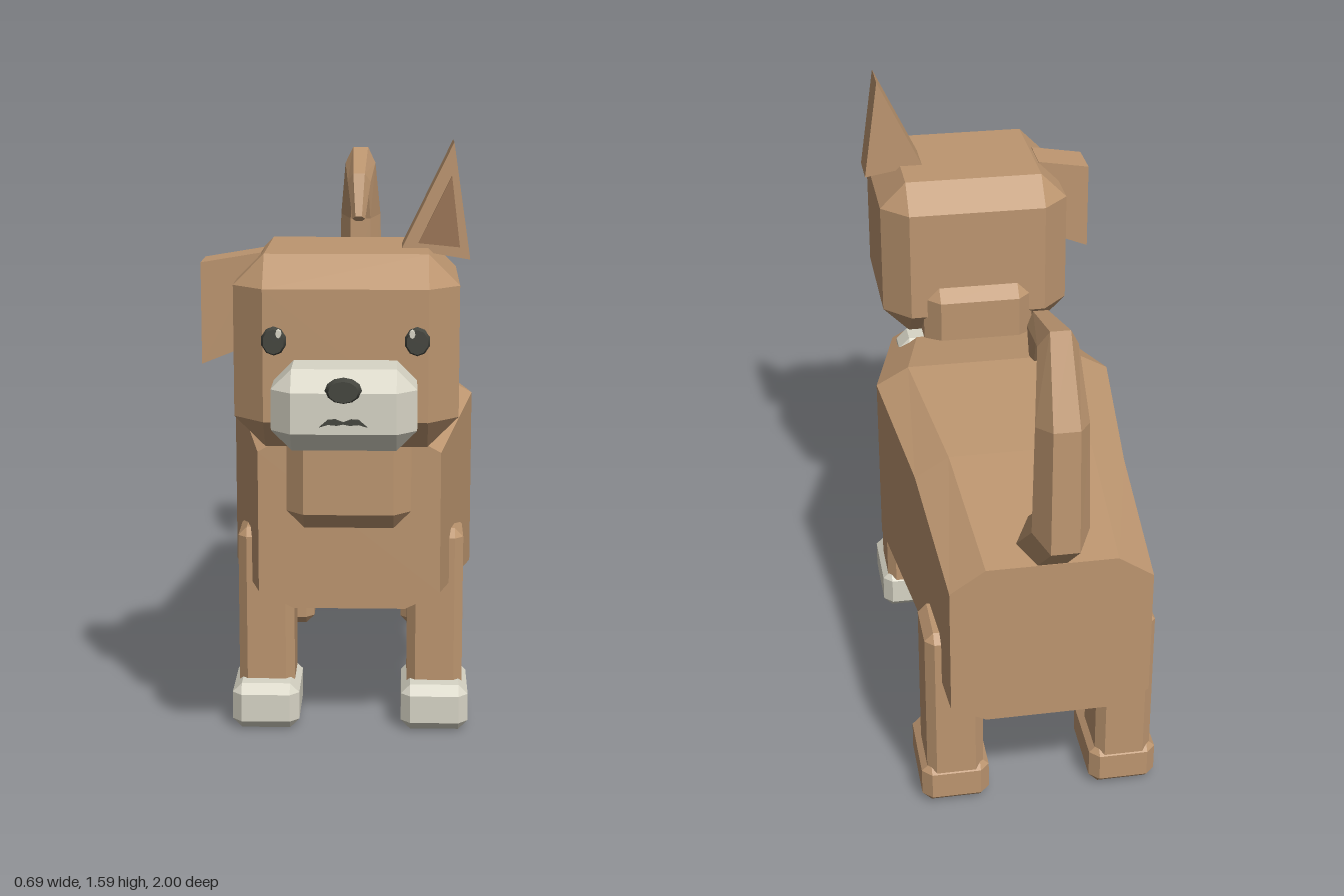
import * as THREE from 'three';
import { ConvexGeometry } from 'three/addons/geometries/ConvexGeometry.js';

const CX = 0.012; // symmetry plane of the animal

const paint = (name, color) => {
  const m = new THREE.MeshStandardMaterial({ color });
  m.name = name;
  return m;
};

// Box between two corners with every edge bevelled by c
function bevelBox(min, max, c) {
  const mid = min.map((v, i) => (v + max[i]) / 2);
  const half = min.map((v, i) => (max[i] - v) / 2);
  const pts = [];
  for (const sx of [-1, 1]) for (const sy of [-1, 1]) for (const sz of [-1, 1]) {
    const s = [sx, sy, sz];
    for (let k = 0; k < 3; k++) {
      const p = mid.map((m, i) => m + s[i] * (half[i] - (i === k ? 0 : c)));
      pts.push(new THREE.Vector3(...p));
    }
  }
  return new ConvexGeometry(pts);
}

// Flat-shaded skin over rings of equal length, closed at both ends
function loft(rings) {
  const pos = [];
  const tri = (...ps) => ps.forEach((p) => pos.push(...p));
  const n = rings[0].length;
  for (let r = 0; r < rings.length - 1; r++) {
    const a = rings[r], b = rings[r + 1];
    for (let i = 0; i < n; i++) {
      const j = (i + 1) % n;
      tri(a[i], a[j], b[j]);
      tri(a[i], b[j], b[i]);
    }
  }
  const first = rings[0], last = rings[rings.length - 1];
  for (let i = 1; i < n - 1; i++) {
    tri(first[0], first[i + 1], first[i]);
    tri(last[0], last[i], last[i + 1]);
  }
  const g = new THREE.BufferGeometry();
  g.setAttribute('position', new THREE.Float32BufferAttribute(pos, 3));
  g.computeVertexNormals();
  return g;
}

// Outline in x and y, given thickness between z0 and z1
function plate(points, z0, z1) {
  const shape = new THREE.Shape(points.map(([x, y]) => new THREE.Vector2(x, y)));
  const g = new THREE.ExtrudeGeometry(shape, { depth: z1 - z0, bevelEnabled: false });
  return g.translate(0, 0, z0);
}

// Oval disc facing the front
function disc(x, y, z, rx, ry, depth, sides) {
  const g = new THREE.CylinderGeometry(0.8, 1, 1, sides);
  return g.rotateX(Math.PI / 2).scale(rx, ry, depth).translate(x, y, z);
}

export function createModel() {
  const model = new THREE.Group();
  model.name = 'dog';
  const fur = paint('tan fur', 0xbd9670);
  const inner = paint('inner ear brown', 0x9c7656);
  const white = paint('off-white fur', 0xd8d5c6);
  const dark = paint('charcoal', 0x45463f);
  const add = (name, geometry, material) => {
    const mesh = new THREE.Mesh(geometry, material);
    mesh.name = name;
    model.add(mesh);
  };

  // Body: octagonal sections [z, half width, top, shoulder, flank, belly]
  const sections = [
    [-0.85, 0.255, 0.82, 0.76, 0.41, 0.365],
    [-0.4, 0.28, 0.877, 0.823, 0.392, 0.347],
    [0.05, 0.33, 0.91, 0.86, 0.375, 0.33],
    [0.48, 0.237, 0.835, 0.785, 0.41, 0.365],
  ];
  add('body', loft(sections.map(([z, w, top, shoulder, flank, belly]) => {
    const f = w - 0.09;
    return [[w, flank], [w, shoulder], [f, top], [-f, top],
      [-w, shoulder], [-w, flank], [-f, belly], [f, belly]].map(([x, y]) => [CX + x, y, z]);
  })), fur);

  // Neck and pale shoulder patch
  add('neck', bevelBox([CX - 0.16, 0.595, 0.265], [CX + 0.16, 1.035, 0.565], 0.045), fur);
  add('shoulderPatch', bevelBox([CX - 0.235, 0.74, 0.285], [CX + 0.235, 0.863, 0.41], 0.03), white);

  // Head and muzzle
  add('head', bevelBox([CX - 0.272, 0.86, 0.3], [CX + 0.272, 1.33, 0.815], 0.075), fur);
  add('muzzle', bevelBox([CX - 0.17, 0.895, 0.74], [CX + 0.17, 1.087, 0.985], 0.048), white);
  add('nose', disc(CX, 1.045, 0.99, 0.043, 0.031, 0.02, 12), dark);
  const mouth = [[-0.055, -0.008], [-0.035, -0.002], [-0.015, -0.004], [0, -0.001], [0.015, -0.004],
    [0.035, -0.002], [0.055, -0.008], [0.035, 0.009], [0.018, 0.01], [0, 0.003], [-0.018, 0.01], [-0.035, 0.009]];
  add('mouth', plate(mouth.map(([x, y]) => [CX + x, 0.97 + y]), 0.985, 0.994), dark);

  // Eyes with glints
  for (const s of [-1, 1]) {
    const side = s > 0 ? 'left' : 'right';
    add(side + 'Eye', disc(CX + s * 0.17, 1.132, 0.82, 0.032, 0.037, 0.02, 10), dark);
    add(side + 'EyeGlint', disc(CX + s * 0.158, 1.151, 0.83, 0.008, 0.012, 0.006, 8), white);
  }

  // Upright left ear, folded right ear
  add('leftEar', plate([[0.145, 1.33], [0.312, 1.302], [0.27, 1.587]], 0.5, 0.615), fur);
  add('leftInnerEar', plate([[0.185, 1.343], [0.286, 1.333], [0.265, 1.507]], 0.615, 0.624), inner);
  add('rightEar', plate([[-0.2, 1.318], [-0.35, 1.293], [-0.35, 1.04], [-0.25, 1.08]], 0.495, 0.615), fur);

  // Legs and paws
  for (const s of [-1, 1]) {
    const side = s > 0 ? 'Left' : 'Right';
    const x = CX + s * 0.227;
    for (const [end, z, pawFront, pawColor] of [['front', 0.18, 0.42, white], ['back', -0.73, -0.485, fur]]) {
      add(end + side + 'Leg', bevelBox([x - 0.075, 0.08, z], [x + 0.075, 0.545, z + 0.177], 0.023), fur);
      add(end + side + 'Paw', bevelBox([x - 0.09, 0, z - 0.003], [x + 0.09, 0.125, pawFront], 0.025), pawColor);
    }
  }

  // Tail: hexagonal rings along a hooked path [z, y, radius], mitred at the bends
  const path = [[-0.76, 0.83, 0.075], [-0.938, 0.977, 0.07], [-0.935, 1.26, 0.064],
    [-0.868, 1.43, 0.048], [-0.675, 1.385, 0.036], [-0.617, 1.275, 0.02]];
  const direction = (a, b) => new THREE.Vector3(0, b[1] - a[1], b[0] - a[0]).normalize();
  add('tail', loft(path.map((p, i) => {
    const before = direction(path[Math.max(i - 1, 0)], path[Math.max(i, 1)]);
    const last = path.length - 1;
    const after = direction(path[Math.min(i, last - 1)], path[Math.min(i + 1, last)]);
    const t = before.clone().add(after).normalize();
    const stretch = 1 / t.dot(after);
    return Array.from({ length: 6 }, (_, k) => {
      const a = (k / 6) * Math.PI * 2;
      const v = Math.sin(a) * p[2] * stretch;
      return [CX + Math.cos(a) * p[2], p[1] + t.z * v, p[0] - t.y * v];
    });
  })), fur);

  return model;
}
